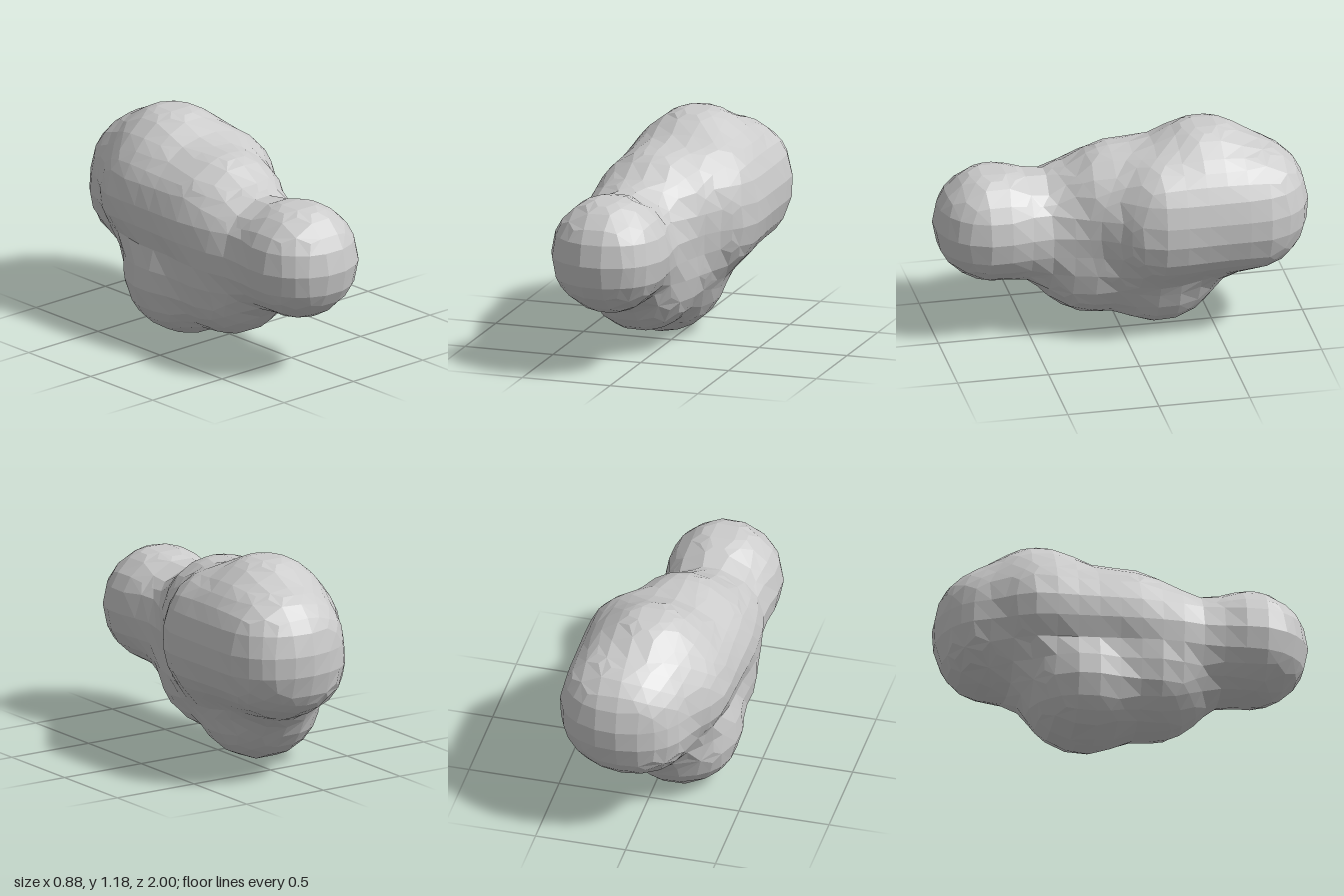
import * as THREE from 'three';

// Rounded lobes of the rock: start point, end point, radius
const LOBES = [
  [[-0.109, 0.645, 0.685], [-0.109, 0.645, 0.683], 0.32], // front knob
  [[-0.11, 0.635, 0.5], [-0.11, 0.625, 0.3], 0.277],      // neck
  [[-0.11, 0.6, 0.5], [-0.11, 0.415, 0.15], 0.262],       // throat
  [[-0.06, 0.735, 0.03], [-0.08, 0.68, 0.1], 0.315],      // shoulder
  [[-0.04, 0.74, 0.02], [0.0, 0.765, -0.2], 0.305],       // ridge
  [[-0.1, 0.71, 0.0], [-0.06, 0.79, -0.35], 0.305],       // right ridge
  [[0.0, 0.85, -0.44], [0.0, 0.85, -0.46], 0.338],        // crown
  [[0.125, 0.78, -0.22], [0.125, 0.77, -0.69], 0.3],      // upper left flank
  [[0.125, 0.66, -0.22], [0.125, 0.665, -0.68], 0.3],     // lower left flank
  [[0.0, 0.65, -0.68], [0.01, 0.76, -0.68], 0.3],         // rear
  [[-0.12, 0.735, -0.45], [-0.12, 0.63, 0.22], 0.31],     // right flank
  [[-0.11, 0.322, -0.2], [-0.11, 0.322, -0.23], 0.326],   // foot
  [[-0.11, 0.4, 0.14], [-0.11, 0.4, 0.16], 0.308],        // belly
  [[-0.11, 0.34, -0.22], [0.12, 0.66, -0.32], 0.28],      // foot to left flank
  [[-0.11, 0.36, -0.08], [0.12, 0.66, -0.2], 0.28],       // foot to front of left flank
  [[-0.11, 0.36, -0.25], [0.04, 0.66, -0.62], 0.285],     // foot to rear
  [[-0.1, 0.41, 0.12], [0.1, 0.63, -0.2], 0.28],          // belly to left flank
].map(([a, b, r]) => ({ line: new THREE.Line3(new THREE.Vector3(...a), new THREE.Vector3(...b)), r }));

const BLEND = 0.07;
const near = new THREE.Vector3();

// Signed distance to the smoothly merged lobes
function field(p) {
  let d = 10;
  for (const { line, r } of LOBES) {
    const e = line.closestPointToPoint(p, true, near).distanceTo(p) - r;
    const h = Math.max(BLEND - Math.abs(d - e), 0) / BLEND;
    d = Math.min(d, e) - h * h * BLEND * 0.25;
  }
  return d;
}

function gradient(p) {
  const e = 0.01, g = [0, 1, 2].map((a) => {
    const q = p.clone(), s = p.clone();
    q.setComponent(a, p.getComponent(a) + e);
    s.setComponent(a, p.getComponent(a) - e);
    return (field(q) - field(s)) / (2 * e);
  });
  return new THREE.Vector3(...g);
}

// Coarse quad skin over the field: one vertex per crossed cell, one quad per crossed edge
function skin() {
  const STEP = 0.1145, N = [12, 15, 22];
  const ORIGIN = [-0.687, -0.215, -1.26];
  const at = (c) => new THREE.Vector3(...c.map((v, a) => ORIGIN[a] + v * STEP));
  const key = (c) => (c[2] * 40 + c[1]) * 40 + c[0];
  const values = new Map(), vertexOf = new Map();
  const positions = [], index = [];
  const each = (fn) => {
    for (let k = 0; k < N[2]; k++)
      for (let j = 0; j < N[1]; j++)
        for (let i = 0; i < N[0]; i++) fn([i, j, k]);
  };
  const value = (c) => {
    const id = key(c);
    if (!values.has(id)) values.set(id, field(at(c)));
    return values.get(id);
  };
  const shifted = (c, a, s) => c.map((v, n) => (n === a ? v + s : v));

  each((c) => {
    const sum = new THREE.Vector3();
    let count = 0;
    for (let a = 0; a < 3; a++) {
      for (let m = 0; m < 4; m++) {
        const p = shifted(shifted(c, (a + 1) % 3, m & 1), (a + 2) % 3, m >> 1);
        const q = shifted(p, a, 1), f = value(p), g = value(q);
        if (f < 0 === g < 0) continue;
        sum.add(at(p).lerp(at(q), f / (f - g)));
        count++;
      }
    }
    if (!count) return;
    sum.divideScalar(count);
    // Settle the averaged point onto the surface
    for (let n = 0; n < 2; n++) {
      const g = gradient(sum);
      sum.addScaledVector(g, -field(sum) / Math.max(g.lengthSq(), 0.6));
    }
    vertexOf.set(key(c), positions.length / 3);
    positions.push(sum.x, sum.y, sum.z);
  });

  each((c) => {
    for (let a = 0; a < 3; a++) {
      const inside = value(c) < 0;
      if (inside === value(shifted(c, a, 1)) < 0) continue;
      const b = (a + 1) % 3, d = (a + 2) % 3;
      const low = shifted(c, d, -1);
      const quad = [shifted(low, b, -1), low, c, shifted(c, b, -1)].map((v) => vertexOf.get(key(v)));
      if (!inside) quad.reverse();
      const [p, q, r, s] = quad;
      index.push(p, q, r, p, r, s);
    }
  });

  const geometry = new THREE.BufferGeometry();
  geometry.setAttribute('position', new THREE.Float32BufferAttribute(positions, 3));
  geometry.setIndex(index);
  geometry.computeVertexNormals();
  return geometry;
}

export function createModel() {
  const group = new THREE.Group();
  group.name = 'asteroid';
  const material = new THREE.MeshStandardMaterial({ color: 0xcccccc, flatShading: true });
  const rock = new THREE.Mesh(skin(), material);
  rock.name = 'rockBody';
  // Rest the lowest point on the ground
  rock.position.y = -new THREE.Box3().setFromObject(rock).min.y;
  group.add(rock);
  return group;
}
